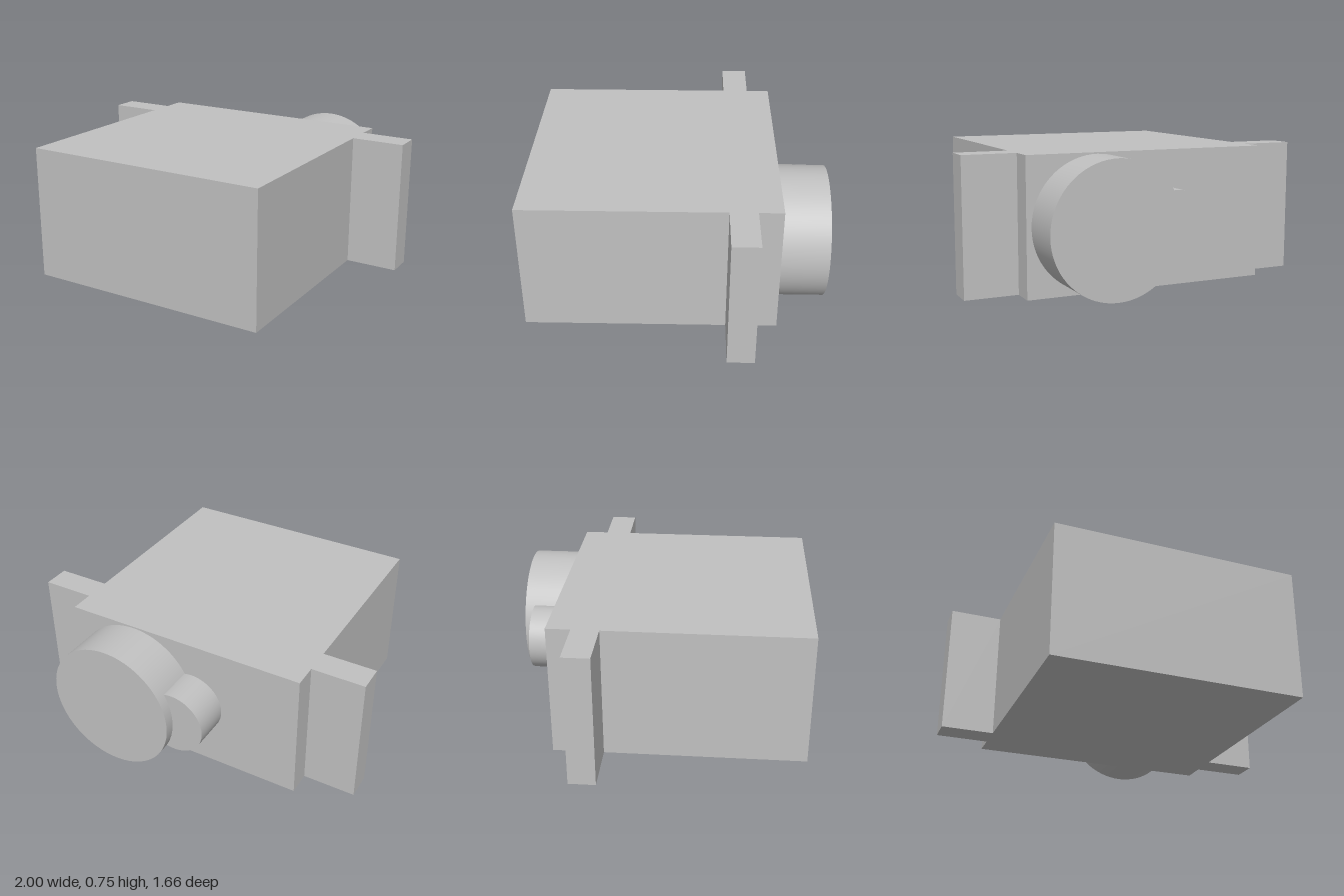
import * as THREE from 'three';

export function createModel() {
  const group = new THREE.Group();
  const grey = new THREE.MeshStandardMaterial({ color: 0xc0c0c0 });
  grey.name = 'lightGrey';

  const HEIGHT = 0.755;
  const BACK = -0.567; // rear face of the housing
  const FRONT = 0.832;

  const add = (name, geometry, x, y, z) => {
    const mesh = new THREE.Mesh(geometry, grey);
    mesh.name = name;
    mesh.position.set(x, y, z);
    group.add(mesh);
  };

  // Main housing
  add('housing', new THREE.BoxGeometry(1.404, HEIGHT, FRONT - BACK), 0, HEIGHT / 2, (FRONT + BACK) / 2);

  // Mounting flanges, one on each side
  for (const side of [-1, 1]) {
    const name = side > 0 ? 'leftFlange' : 'rightFlange';
    add(name, new THREE.BoxGeometry(0.298, HEIGHT, 0.15), side * 0.851, HEIGHT / 2, -0.358);
  }

  // Round bosses standing out of the rear face
  const addBoss = (name, x, radius, depth) => {
    const geometry = new THREE.CylinderGeometry(radius, radius, depth, 72);
    geometry.rotateX(Math.PI / 2);
    add(name, geometry, x, HEIGHT / 2, BACK - depth / 2);
  };
  addBoss('largeBoss', 0.305, 0.369, 0.265);
  addBoss('smallBoss', -0.063, 0.183, 0.207);

  return group;
}
